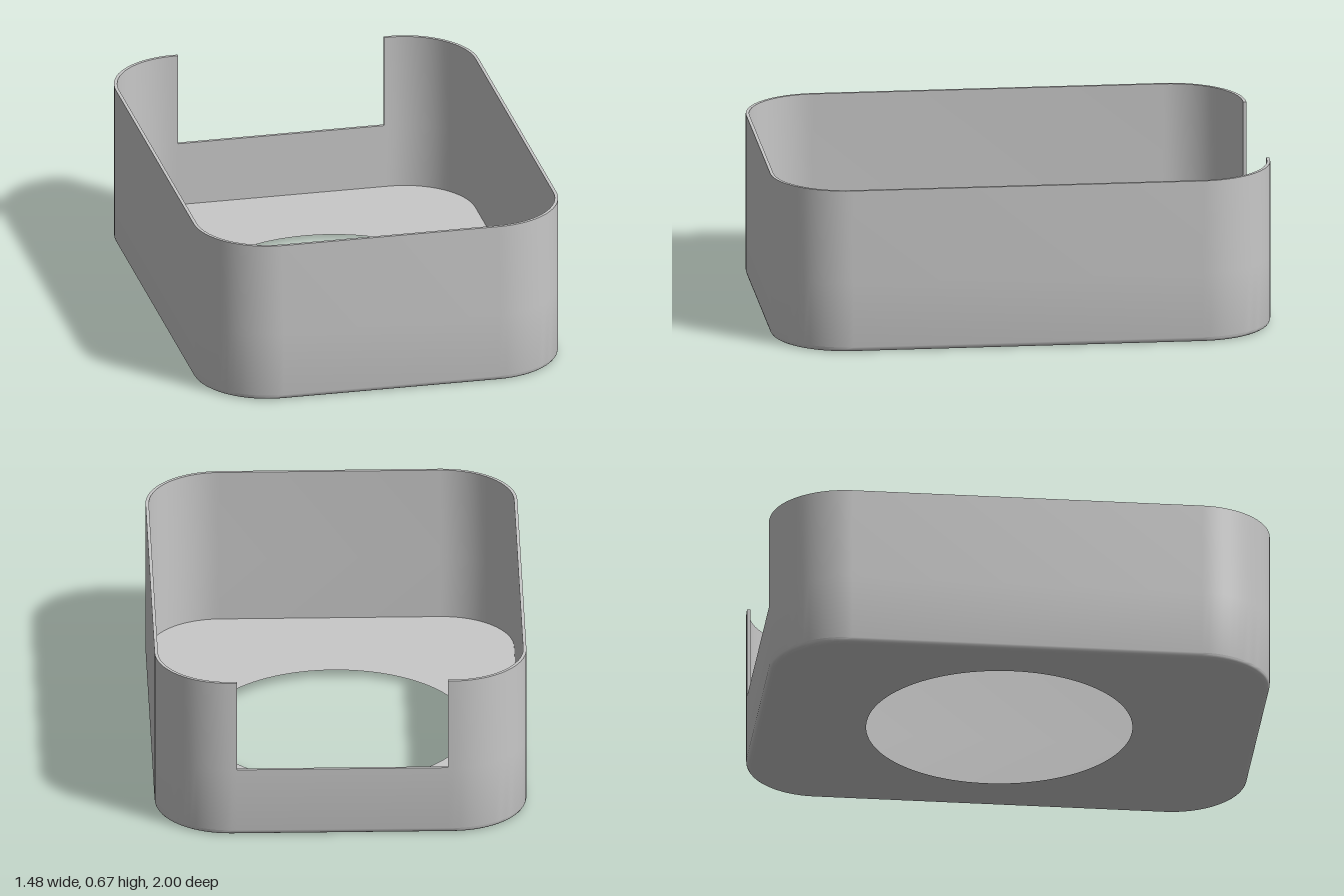
import * as THREE from 'three';
import { toCreasedNormals } from 'three/addons/utils/BufferGeometryUtils.js';

const HALF_W = 0.74, HALF_L = 1, HEIGHT = 0.665, CORNER = 0.3;
const WALL = 0.013, FLOOR = 0.022, FILLET = 0.02;
const NOTCH_X = 0.42, NOTCH_Y = 0.285;
const STEPS = 16;

// Rounded outline, inset by d, running from one side of the rear notch round to the other
function outline(d) {
  const cx = HALF_W - CORNER, cy = HALF_L - CORNER, r = CORNER - d;
  const points = [new THREE.Vector2(NOTCH_X, HALF_L - d)];
  [[1, 1], [1, -1], [-1, -1], [-1, 1]].forEach(([sx, sy], corner) => {
    for (let i = 0; i <= STEPS; i++) {
      const a = Math.PI / 2 * (1 - corner - i / STEPS);
      points.push(new THREE.Vector2(sx * cx + r * Math.cos(a), sy * cy + r * Math.sin(a)));
    }
  });
  points.push(new THREE.Vector2(-NOTCH_X, HALF_L - d));
  return points;
}

// Sweeps a profile of [inset, height] pairs around the closed outline
function sweep(profile) {
  const positions = [], index = [];
  const n = outline(0).length;
  for (const [d, y] of profile) {
    for (const p of outline(d)) positions.push(p.x, y, -p.y);
  }
  for (let k = 0; k < profile.length - 1; k++) {
    for (let i = 0; i < n; i++) {
      const j = (i + 1) % n;
      const a = k * n + i, b = k * n + j, c = a + n, e = b + n;
      index.push(a, c, b, b, c, e);
    }
  }
  const geometry = new THREE.BufferGeometry();
  geometry.setAttribute('position', new THREE.Float32BufferAttribute(positions, 3));
  geometry.setIndex(index);
  return geometry;
}

// Extrudes a plan shape upwards from y0 to y1
function extrudeUp(shape, y0, y1) {
  return new THREE.ExtrudeGeometry(shape, { depth: y1 - y0, bevelEnabled: false, curveSegments: 48 })
    .rotateX(-Math.PI / 2)
    .translate(0, y0, 0);
}

export function createModel() {
  const group = new THREE.Group();
  group.name = 'openTray';
  const grey = new THREE.MeshStandardMaterial({ color: 0xc8c8c8 });
  grey.name = 'grey';

  const add = (name, geometry) => {
    const mesh = new THREE.Mesh(toCreasedNormals(geometry, 0.5), grey);
    mesh.name = name;
    group.add(mesh);
  };

  // Floor with the large round opening
  const floor = new THREE.Shape(outline(FILLET));
  const hole = new THREE.Path();
  hole.absarc(0, 0.035, 0.53, 0, Math.PI * 2, true);
  floor.holes.push(hole);
  add('floor', extrudeUp(floor, 0, FLOOR));

  // Lower wall with a rounded bottom edge, up to the notch sill
  const profile = [];
  for (let i = 0; i <= 4; i++) {
    const a = i / 4 * Math.PI / 2;
    profile.push([FILLET * (1 - Math.sin(a)), FILLET * (1 - Math.cos(a))]);
  }
  profile.push([0, NOTCH_Y], [WALL, NOTCH_Y], [WALL, FLOOR], [FILLET, FLOOR]);
  add('lowerWall', sweep(profile));

  // Upper wall, open at the rear notch
  const upper = new THREE.Shape([...outline(0), ...outline(WALL).reverse()]);
  add('upperWall', extrudeUp(upper, NOTCH_Y, HEIGHT));

  return group;
}
